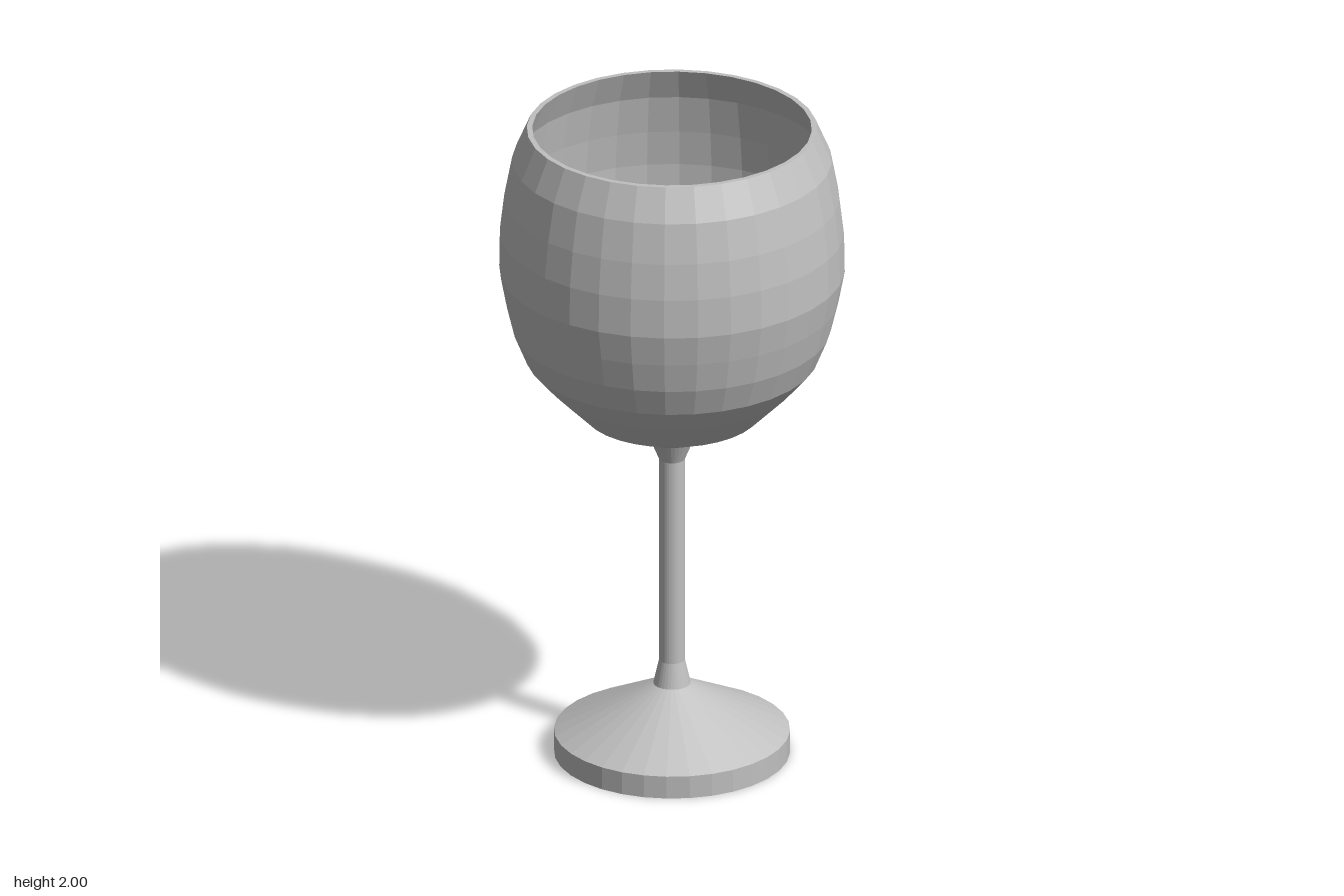
import * as THREE from 'three';

const SIDES = 32;

export function createModel() {
  const glass = new THREE.MeshStandardMaterial({ color: 0xc0c0c0, flatShading: true });
  glass.name = 'grey glass';

  const model = new THREE.Group();
  model.name = 'wineGlass';

  // Profiles are [radius, height] pairs turned around the y axis
  const turn = (name, profile) => {
    const points = profile.map(([r, y]) => new THREE.Vector2(r, y));
    const mesh = new THREE.Mesh(new THREE.LatheGeometry(points, SIDES), glass);
    mesh.name = name;
    model.add(mesh);
  };

  // Flat disc with a conical top
  turn('foot', [[0, 0], [0.347, 0], [0.347, 0.07], [0.055, 0.22]]);

  // Thin stem flaring at both ends
  turn('stem', [[0.055, 0.22], [0.038, 0.295], [0.038, 0.94], [0.063, 1.0]]);

  // Outer wall from the stem up to the lip
  const outer = [
    [0.063, 1.0], [0.26, 1.09], [0.365, 1.195], [0.43, 1.27], [0.467, 1.36],
    [0.49, 1.455], [0.508, 1.55], [0.506, 1.67], [0.493, 1.78], [0.47, 1.9], [0.427, 2.0],
  ];
  // Inner wall from the lip down to the floor
  const inner = [
    [0.411, 2.0], [0.452, 1.9], [0.473, 1.78], [0.486, 1.67], [0.487, 1.56],
    [0.472, 1.46], [0.448, 1.37], [0.41, 1.29], [0.36, 1.225], [0.28, 1.155],
    [0.2, 1.1], [0.12, 1.065], [0, 1.045],
  ];
  turn('bowl', [...outer, ...inner]);

  return model;
}
